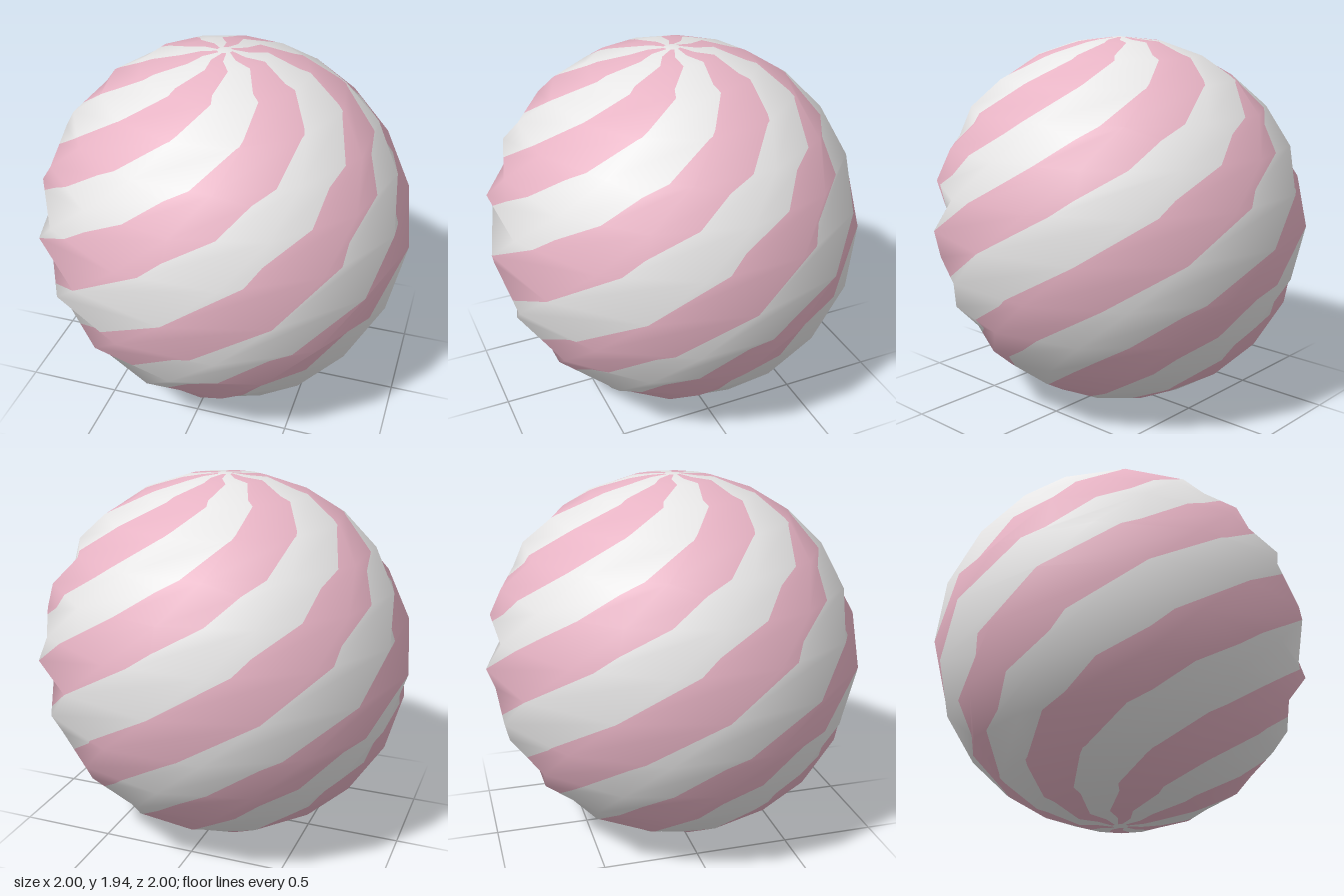
import * as THREE from 'three';

export function createModel() {
  const group = new THREE.Group();
  group.name = 'swirledCandyBall';

  const white = new THREE.MeshStandardMaterial({ color: 0xecebeb });
  white.name = 'candyWhite';
  const pink = new THREE.MeshStandardMaterial({ color: 0xe8b4c5 });
  pink.name = 'candyPink';

  const COLS = 12, ROWS = 14, HEIGHT = 0.97;
  const TWIST = THREE.MathUtils.degToRad(70); // turn of the rings per unit of height
  const SLANT = 0.24;                         // extra stripe drift, in columns per row
  const TIP = 0.18;                           // size of the plain white spot at each pole

  // rings of a sphere, each turned about y in proportion to its height
  const positions = [];
  const addRing = (k, scale = 1) => {
    const t = (k / ROWS) * Math.PI, c = Math.cos(t), r = Math.sin(t) * scale;
    const y = HEIGHT * (1 + THREE.MathUtils.lerp(Math.sign(c), c, scale));
    for (let i = 0; i < COLS; i++) {
      const a = (i / COLS) * Math.PI * 2 + TWIST * c;
      positions.push(r * Math.sin(a), y, r * Math.cos(a));
    }
  };
  const rows = [TIP];
  for (let k = 1; k < ROWS; k++) rows.push(k);
  rows.push(ROWS - TIP);
  addRing(1, TIP);
  for (let k = 1; k < ROWS; k++) addRing(k);
  addRing(ROWS - 1, TIP);
  const top = positions.length / 3, bottom = top + 1;
  positions.push(0, HEIGHT * 2, 0, 0, 0, 0);

  // triangles as corners of [vertex, stripe coordinate]
  const corner = (i, j) => [j * COLS + (i % COLS), i - SLANT * (ROWS / 2 - rows[j])];
  const bodyFaces = [], capFaces = [];
  for (let i = 0; i < COLS; i++) {
    for (let j = 0; j < rows.length - 1; j++) {
      const b = corner(i, j), a = corner(i + 1, j), c = corner(i, j + 1), d = corner(i + 1, j + 1);
      bodyFaces.push([b, c, a], [c, d, a]);
    }
    const last = rows.length - 1;
    capFaces.push([[top, 0], corner(i, 0), corner(i + 1, 0)]);
    capFaces.push([[bottom, 0], corner(i + 1, last), corner(i, last)]);
  }

  // smooth normals of the whole ball
  const base = new THREE.BufferGeometry();
  base.setAttribute('position', new THREE.Float32BufferAttribute(positions, 3));
  base.setIndex([...bodyFaces, ...capFaces].flat().map((v) => v[0]));
  base.computeVertexNormals();
  const vertex = ([v, s]) => ({
    s,
    p: new THREE.Vector3().fromBufferAttribute(base.attributes.position, v),
    n: new THREE.Vector3().fromBufferAttribute(base.attributes.normal, v),
  });

  // keep the part of a polygon where sign * (s - limit) >= 0
  const clip = (poly, limit, sign) => {
    const out = [];
    poly.forEach((u, i) => {
      const w = poly[(i + 1) % poly.length];
      const du = sign * (u.s - limit), dw = sign * (w.s - limit);
      if (du >= 0) out.push(u);
      if (du * dw < 0) {
        const f = du / (du - dw);
        out.push({ s: limit, p: u.p.clone().lerp(w.p, f), n: u.n.clone().lerp(w.n, f).normalize() });
      }
    });
    return out;
  };

  const makeMesh = (name, material) => {
    const pos = [], nor = [];
    return {
      add(poly) {
        for (let i = 1; i < poly.length - 1; i++) {
          for (const v of [poly[0], poly[i], poly[i + 1]]) {
            pos.push(...v.p.toArray());
            nor.push(...v.n.toArray());
          }
        }
      },
      finish() {
        const g = new THREE.BufferGeometry();
        g.setAttribute('position', new THREE.Float32BufferAttribute(pos, 3));
        g.setAttribute('normal', new THREE.Float32BufferAttribute(nor, 3));
        const mesh = new THREE.Mesh(g, material);
        mesh.name = name;
        group.add(mesh);
      },
    };
  };
  const pinkStripes = makeMesh('pinkStripes', pink);
  const whiteStripes = makeMesh('whiteStripes', white);

  // cut every face along the spiral stripe borders
  for (const face of bodyFaces) {
    const poly = face.map(vertex);
    const s = poly.map((v) => v.s);
    for (let n = Math.floor(Math.min(...s)); n < Math.max(...s); n++) {
      (n % 2 === 0 ? pinkStripes : whiteStripes).add(clip(clip(poly, n, 1), n + 1, -1));
    }
  }
  for (const face of capFaces) whiteStripes.add(face.map(vertex));
  pinkStripes.finish();
  whiteStripes.finish();
  return group;
}
